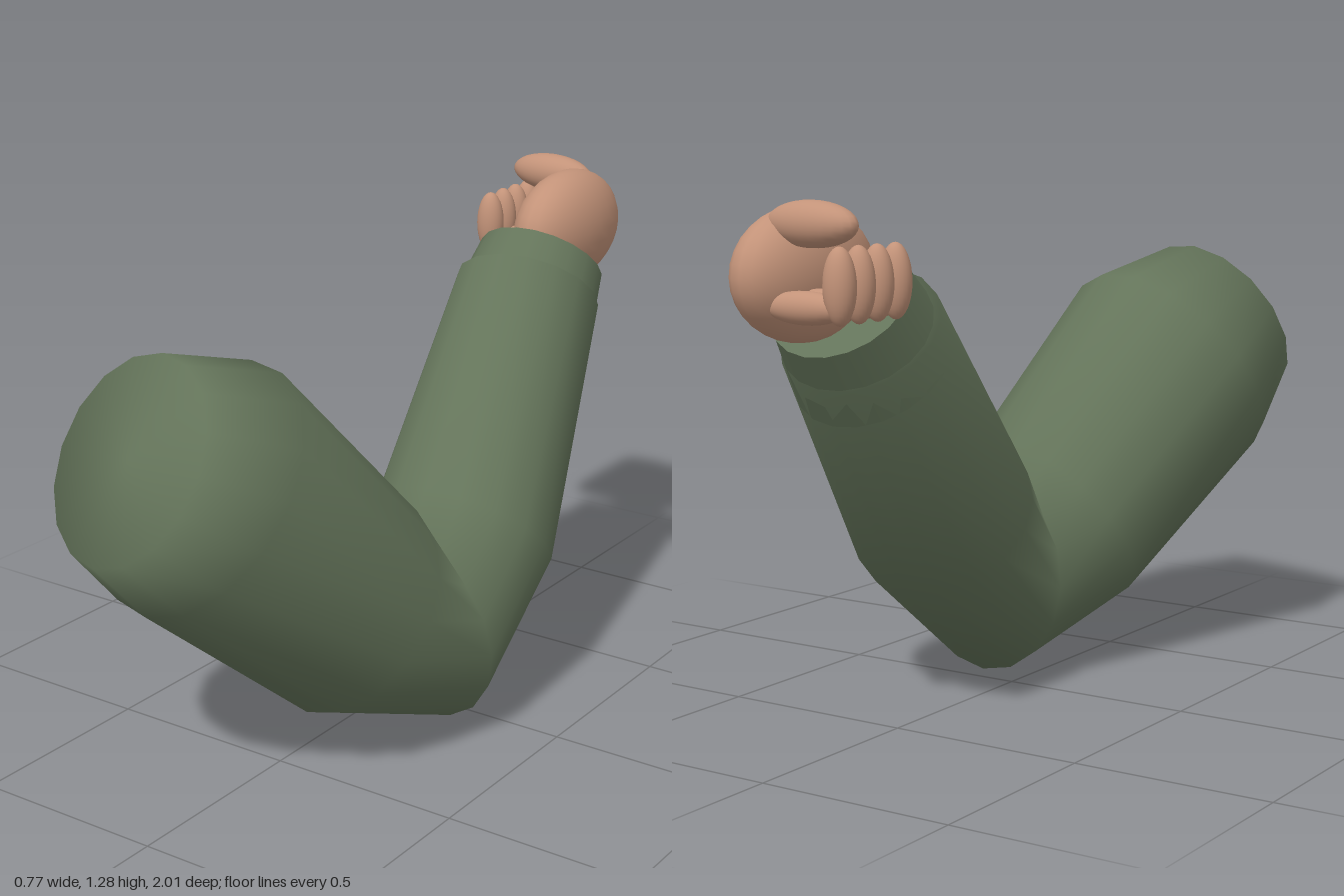
import * as THREE from 'three';

const fabric = new THREE.MeshStandardMaterial({ name: 'sleeve green', color: 0x64745a });
const skin = new THREE.MeshStandardMaterial({ name: 'skin', color: 0xc39379 });

// Smooth capped tube through rings given as [x, y, z, radius]
function ringTube(rings, sides) {
  const centers = rings.map(([x, y, z]) => new THREE.Vector3(x, y, z));
  const last = rings.length - 1;
  const pos = [], index = [];
  const step = (i) => centers[i + 1].clone().sub(centers[i]).normalize();
  rings.forEach(([, , , r], i) => {
    // Each ring lies across the average direction of its neighbouring segments
    const t = step(Math.max(i - 1, 0)).add(step(Math.min(i, last - 1))).normalize();
    const side = new THREE.Vector3(1, 0, 0).addScaledVector(t, -t.x).normalize();
    const up = t.clone().cross(side);
    for (let j = 0; j < sides; j++) {
      const a = (j / sides) * Math.PI * 2;
      const p = centers[i].clone()
        .addScaledVector(side, r * Math.cos(a))
        .addScaledVector(up, r * Math.sin(a));
      pos.push(p.x, p.y, p.z);
    }
  });
  const start = pos.length / 3, end = start + 1;
  pos.push(...centers[0].toArray(), ...centers[last].toArray());
  for (let j = 0; j < sides; j++) {
    const k = (j + 1) % sides;
    for (let i = 0; i < last; i++) {
      const a = i * sides, b = a + sides;
      index.push(a + j, a + k, b + j, a + k, b + k, b + j);
    }
    index.push(start, k, j, end, last * sides + j, last * sides + k);
  }
  const g = new THREE.BufferGeometry();
  g.setAttribute('position', new THREE.Float32BufferAttribute(pos, 3));
  g.setIndex(index);
  g.computeVertexNormals();
  return g;
}

function add(parent, name, geometry, material) {
  const mesh = new THREE.Mesh(geometry, material);
  mesh.name = name;
  parent.add(mesh);
  return mesh;
}

function ellipsoid(parent, name, center, radii) {
  const mesh = add(parent, name, new THREE.SphereGeometry(1, 24, 16), skin);
  mesh.position.set(...center);
  mesh.scale.set(...radii);
  return mesh;
}

export function createModel() {
  const model = new THREE.Group();
  model.name = 'bentArm';

  // Sleeve from shoulder through elbow to wrist
  add(model, 'sleeve', ringTube([
    [-0.12, 0.88, 0.875, 0.253],
    [-0.07, 0.77, 0.69, 0.325],
    [0.08, 0.378, 0.315, 0.285],
    [0.135, 0.247, 0.095, 0.248],
    [0.135, 0.445, -0.115, 0.243],
    [0.035, 0.97, -0.585, 0.196],
  ], 16), fabric);

  // Tapered cuff
  const from = new THREE.Vector3(0.05, 0.885, -0.515);
  const to = new THREE.Vector3(0.035, 1.038, -0.655);
  const axis = to.clone().sub(from);
  const cuff = add(model, 'cuff', new THREE.CylinderGeometry(0.172, 0.201, axis.length(), 20), fabric);
  cuff.position.copy(from).add(to).multiplyScalar(0.5);
  cuff.quaternion.setFromUnitVectors(new THREE.Vector3(0, 1, 0), axis.normalize());

  // Loosely closed hand
  const hand = new THREE.Group();
  hand.name = 'hand';
  model.add(hand);
  ellipsoid(hand, 'palm', [0.04, 1.11, -0.78], [0.108, 0.155, 0.22]);
  const thumb = ellipsoid(hand, 'thumb', [-0.07, 1.227, -0.885], [0.13, 0.052, 0.05]);
  thumb.rotation.y = -0.1;
  for (let i = 0; i < 4; i++) {
    const z = -0.93 + i * 0.066;
    ellipsoid(hand, 'fingerBase', [-0.085, 1.05, z], [0.11, 0.037, 0.035]);
    ellipsoid(hand, 'fingerTip', [-0.178, 1.1, z], [0.038, 0.085, 0.035]);
  }
  return model;
}
